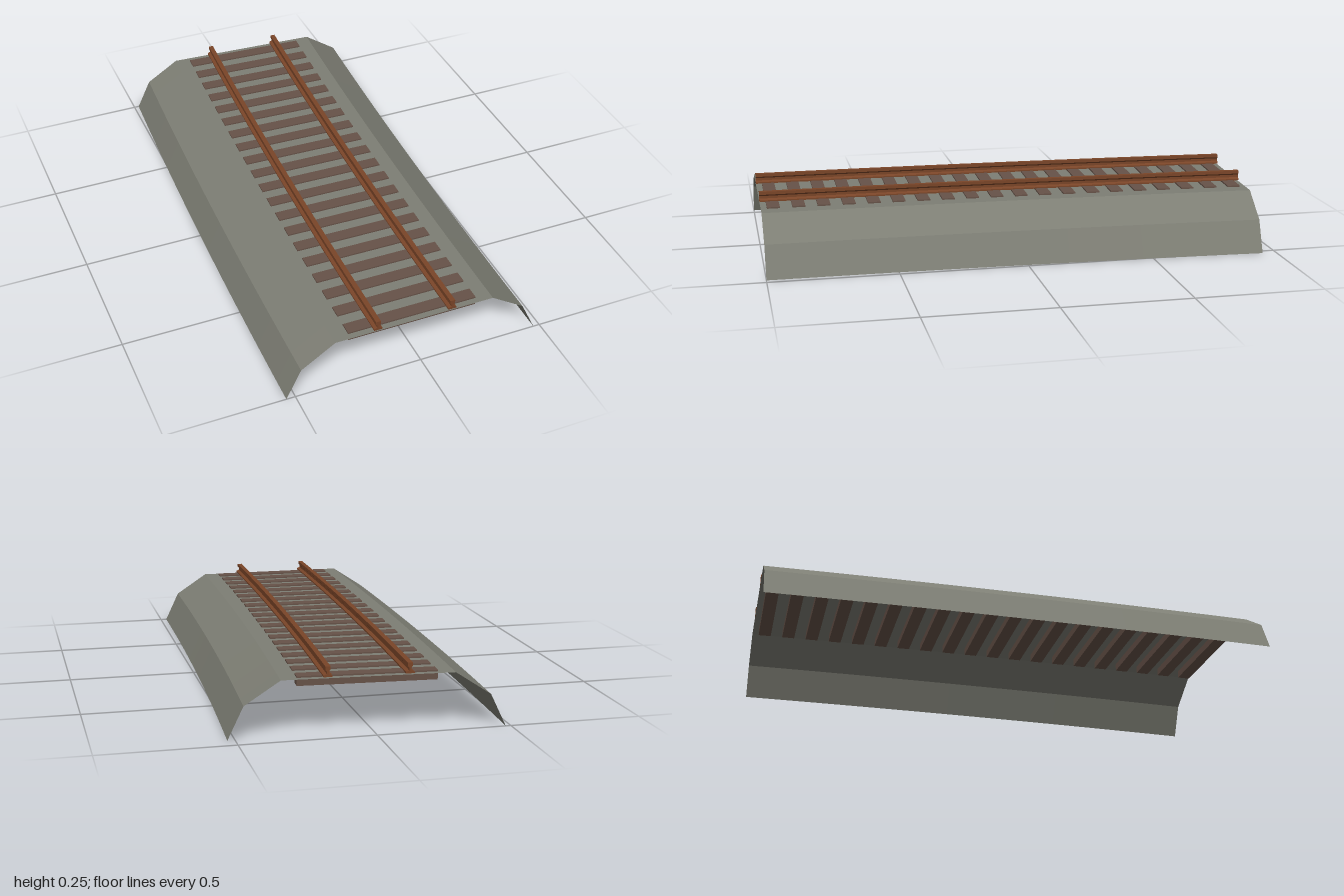
import * as THREE from 'three';

// Centre line: a gentle arc starting at the front and bending towards +x.
const R = 36.2, ANGLE = 0.0545, LENGTH = R * ANGLE, X0 = -0.03;
const STEPS = 20, TIES = 20;

// Place a point from its distance s along the arc and its sideways offset u.
function onArc(s, u, y) {
  const a = s / R;
  return new THREE.Vector3(X0 + R - (R - u) * Math.cos(a), y, 1 - (R - u) * Math.sin(a));
}

// Open sheet with the given cross-section, swept along the arc.
function sweepSheet(profile) {
  const n = profile.length;
  const geo = new THREE.PlaneGeometry(1, 1, n - 1, STEPS);
  const pos = geo.attributes.position;
  for (let i = 0; i < pos.count; i++) {
    const [u, y] = profile[i % n];
    const p = onArc(LENGTH * (1 - Math.floor(i / n) / STEPS), u, y);
    pos.setXYZ(i, p.x, p.y, p.z);
  }
  const flat = geo.toNonIndexed();
  flat.computeVertexNormals();
  return flat;
}

// Closed solid with the given cross-section, bent along the arc.
function sweepSolid(profile) {
  const shape = new THREE.Shape(profile.map(([u, y]) => new THREE.Vector2(u, y)));
  const geo = new THREE.ExtrudeGeometry(shape, { depth: LENGTH, steps: STEPS, bevelEnabled: false });
  const pos = geo.attributes.position;
  for (let i = 0; i < pos.count; i++) {
    const p = onArc(LENGTH - pos.getZ(i), pos.getX(i), pos.getY(i));
    pos.setXYZ(i, p.x, p.y, p.z);
  }
  geo.computeVertexNormals();
  return geo;
}

export function createModel() {
  const gravel = new THREE.MeshStandardMaterial({ color: 0x7d7e74, side: THREE.DoubleSide, flatShading: true });
  gravel.name = 'gravel grey';
  const wood = new THREE.MeshStandardMaterial({ color: 0x665248, flatShading: true });
  wood.name = 'weathered wood';
  const rust = new THREE.MeshStandardMaterial({ color: 0x7a4528, flatShading: true });
  rust.name = 'rusty steel';

  const model = new THREE.Group();
  model.name = 'curvedTrack';
  const add = (name, geo, mat, parent = model) => {
    const mesh = new THREE.Mesh(geo, mat);
    mesh.name = name;
    parent.add(mesh);
    return mesh;
  };

  // Ballast bed: open-bottomed shell with two slopes on each side
  const half = [[0.505, 0], [0.447, 0.122], [0.315, 0.209]];
  const bed = [...half.map(([u, y]) => [-u, y]), ...half.slice().reverse()];
  add('ballastBed', sweepSheet(bed), gravel);

  // Ties, each square to the arc
  const ties = new THREE.Group();
  ties.name = 'ties';
  model.add(ties);
  const tieGeo = new THREE.BoxGeometry(0.51, 0.035, 0.05);
  for (let i = 0; i < TIES; i++) {
    const s = (i + 0.5) * LENGTH / TIES;
    const tie = add('tie', tieGeo, wood, ties);
    tie.position.copy(onArc(s, 0, 0.197));
    tie.rotation.y = -s / R;
  }

  // Rails: foot, narrow web and head
  const railHalf = [[0.016, 0.213], [0.016, 0.219], [0.004, 0.224], [0.004, 0.234], [0.0095, 0.24], [0.0095, 0.252]];
  for (const [name, side] of [['rightRail', -1], ['leftRail', 1]]) {
    const outline = [...railHalf, ...railHalf.slice().reverse().map(([u, y]) => [-u, y])];
    add(name, sweepSolid(outline.map(([u, y]) => [u + side * 0.148, y])), rust);
  }
  return model;
}
